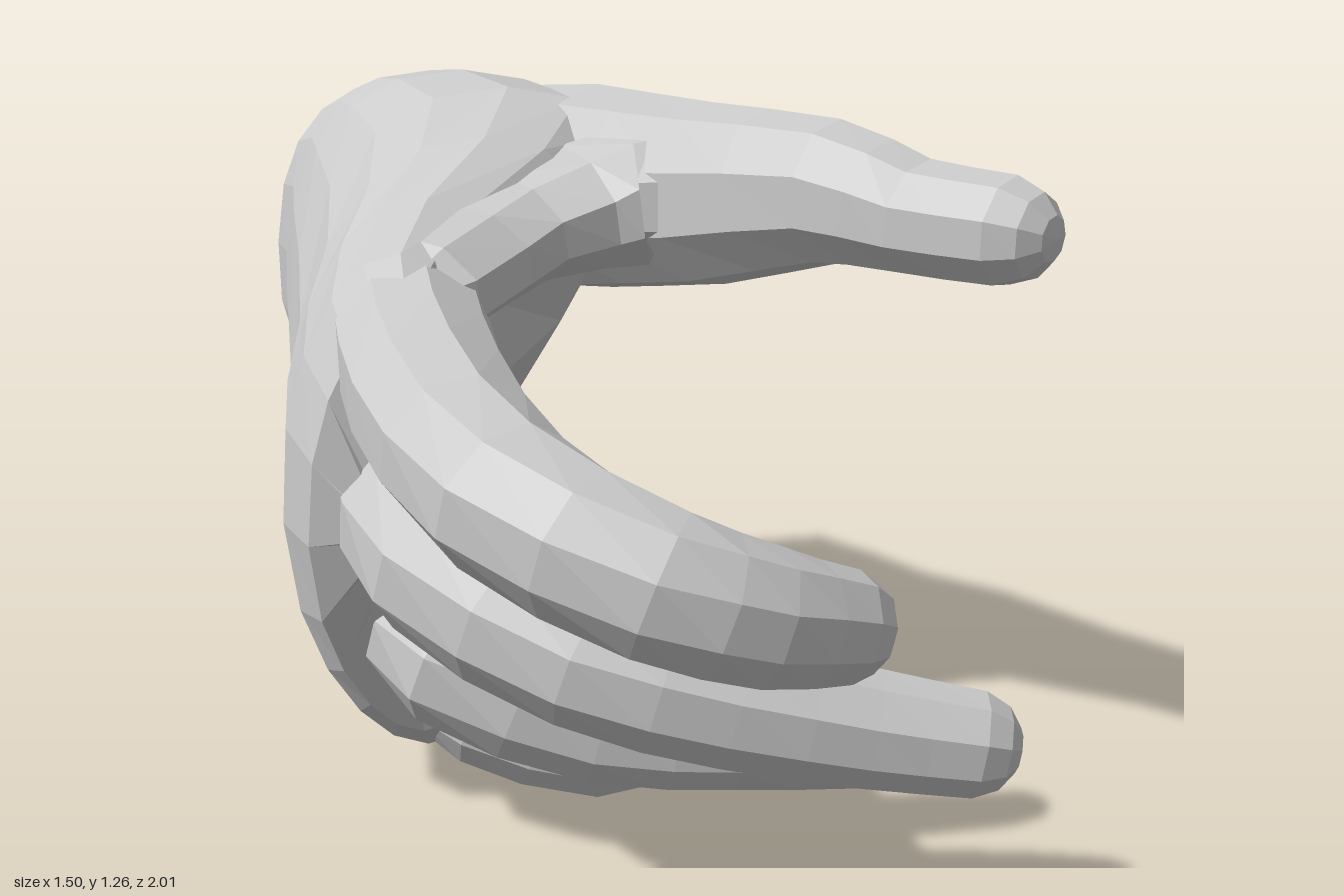
import * as THREE from 'three';

const skin = new THREE.MeshStandardMaterial({ color: 0xcccccc, flatShading: true, side: THREE.DoubleSide });

// Skin a list of rings (arrays of Vector3, counter-clockwise about the direction of travel).
function loft(name, rings) {
  const n = rings[0].length, index = [];
  for (let i = 0; i < rings.length - 1; i++) {
    for (let j = 0; j < n; j++) {
      const k = (j + 1) % n;
      const a = i * n + j, b = i * n + k, c = a + n, d = b + n;
      index.push(a, b, d, a, d, c);
    }
  }
  const geo = new THREE.BufferGeometry().setFromPoints(rings.flat());
  geo.setIndex(index);
  geo.computeVertexNormals();
  const mesh = new THREE.Mesh(geo, skin);
  mesh.name = name;
  return mesh;
}

// Tapered digit through joints [x, y, z, half width, half height], with rounded ends.
function digit(name, joints, steps = 2, sides = 9) {
  const path = new THREE.CatmullRomCurve3(joints.map(p => new THREE.Vector3(p[0], p[1], p[2])));
  const last = joints.length - 1, count = last * steps;
  const up = new THREE.Vector3(0, 1, 0), rings = [];
  const addRing = (t, size, out) => {
    const s = t * last, k = Math.min(Math.floor(s), last - 1);
    const [w, h] = [3, 4].map(c => THREE.MathUtils.lerp(joints[k][c], joints[k + 1][c], s - k));
    const dir = path.getTangent(t);
    const centre = path.getPoint(t).addScaledVector(dir, out * w);
    const v = up.clone().addScaledVector(dir, -up.dot(dir)).normalize();
    const u = new THREE.Vector3().crossVectors(v, dir);
    rings.push(Array.from({ length: sides }, (_, j) => {
      const a = (j / sides) * Math.PI * 2;
      return centre.clone().addScaledVector(u, Math.cos(a) * w * size).addScaledVector(v, Math.sin(a) * h * size);
    }));
  };
  const cap = [[0.78, 0.5], [0.42, 0.78], [0, 0.85]];
  for (const [size, out] of [...cap].reverse()) addRing(0, size, -out * 0.5);
  for (let i = 0; i <= count; i++) addRing(i / count, 1, 0);
  for (const [size, out] of cap) addRing(1, size, out);
  return loft(name, rings);
}

// Palm from wrist to knuckles:
// [top xyz, bottom xyz, thickness, bulge of the back, ball of the thumb, forward bow]
function palm() {
  const sections = [
    [-0.47, 1.20, -0.84, -0.53, 0.48, -0.98, 0.50, 0.00, 0.00, -0.05],
    [-0.44, 1.24, -0.72, -0.51, 0.44, -0.86, 0.48, 0.00, 0.10, -0.02],
    [-0.43, 1.26, -0.58, -0.48, 0.35, -0.68, 0.45, 0.01, 0.23, 0.00],
    [-0.37, 1.26, -0.34, -0.42, 0.20, -0.42, 0.43, 0.04, 0.32, 0.00],
    [-0.35, 1.20, -0.12, -0.37, 0.10, -0.20, 0.39, 0.06, 0.22, 0.00],
    [-0.36, 1.12, 0.06, -0.33, 0.06, -0.06, 0.36, 0.08, 0.06, 0.02],
    [-0.36, 1.06, 0.24, -0.35, 0.09, 0.07, 0.31, 0.07, 0.00, 0.07],
    [-0.34, 0.99, 0.35, -0.35, 0.15, 0.15, 0.23, 0.06, 0.00, 0.09],
    [-0.35, 0.62, 0.34, -0.35, 0.58, 0.33, 0.01, 0.03, 0.00, 0.05],
  ];
  const sides = 20;
  return loft('palm', sections.map(([tx, ty, tz, bx, by, bz, thick, bulge, ball, bow], i) =>
    Array.from({ length: sides }, (_, j) => {
      const a = (j / sides) * Math.PI * 2;
      const round = v => Math.sign(v) * Math.abs(v) ** 0.85;
      const c = round(Math.cos(a)), s = round(Math.sin(a)), m = (s + 1) / 2;
      const thenar = ball * THREE.MathUtils.smoothstep(m, 0.5, 0.85) * (c + 1) / 2;
      const slant = i === 0 ? 0.04 * c : 0;
      return new THREE.Vector3(
        bx + (tx - bx) * m + c * thick / 2 - bulge * (1 - s * s) + thenar,
        by + (ty - by) * m,
        bz + (tz - bz) * m - slant + bow * (1 - s * s));
    })));
}

export function createModel() {
  const hand = new THREE.Group();
  hand.name = 'hand';
  hand.add(palm());

  hand.add(digit('thumb', [
    [-0.24, 1.03, -0.56, 0.17, 0.20],
    [-0.05, 1.06, -0.37, 0.19, 0.20],
    [0.17, 1.09, -0.14, 0.15, 0.17],
    [0.38, 1.13, 0.05, 0.125, 0.13],
    [0.52, 1.11, 0.16, 0.12, 0.10],
    [0.66, 1.105, 0.26, 0.105, 0.095],
  ]));
  // skin between thumb and index finger
  hand.add(digit('thumbWeb', [
    [-0.34, 0.98, 0.16, 0.14, 0.10],
    [-0.19, 1.04, -0.08, 0.16, 0.10],
    [0.04, 1.08, -0.20, 0.20, 0.13],
    [0.18, 1.09, -0.14, 0.13, 0.13],
  ]));
  hand.add(digit('indexFinger', [
    [-0.35, 0.92, 0.20, 0.14, 0.13],
    [-0.29, 0.87, 0.48, 0.14, 0.13],
    [-0.16, 0.79, 0.74, 0.13, 0.13],
    [0.08, 0.70, 0.885, 0.11, 0.12],
    [0.24, 0.64, 0.86, 0.10, 0.11],
    [0.37, 0.60, 0.79, 0.08, 0.09],
  ]));
  hand.add(digit('middleFinger', [
    [-0.39, 0.66, 0.22, 0.12, 0.13],
    [-0.29, 0.58, 0.44, 0.13, 0.14],
    [-0.04, 0.47, 0.59, 0.12, 0.12],
    [0.20, 0.40, 0.61, 0.105, 0.11],
    [0.42, 0.35, 0.59, 0.10, 0.10],
    [0.60, 0.32, 0.585, 0.085, 0.09],
  ]));
  hand.add(digit('ringFinger', [
    [-0.39, 0.41, 0.12, 0.11, 0.12],
    [-0.28, 0.34, 0.27, 0.12, 0.13],
    [-0.02, 0.24, 0.31, 0.11, 0.11],
    [0.22, 0.21, 0.29, 0.10, 0.10],
    [0.44, 0.18, 0.25, 0.085, 0.085],
    [0.61, 0.17, 0.22, 0.07, 0.07],
  ]));
  hand.add(digit('littleFinger', [
    [-0.36, 0.22, 0.00, 0.09, 0.10],
    [-0.24, 0.16, 0.07, 0.10, 0.11],
    [-0.03, 0.09, 0.09, 0.085, 0.09],
    [0.13, 0.13, 0.07, 0.075, 0.08],
    [0.26, 0.16, 0.05, 0.07, 0.075],
    [0.38, 0.18, 0.02, 0.06, 0.065],
  ]));
  return hand;
}
